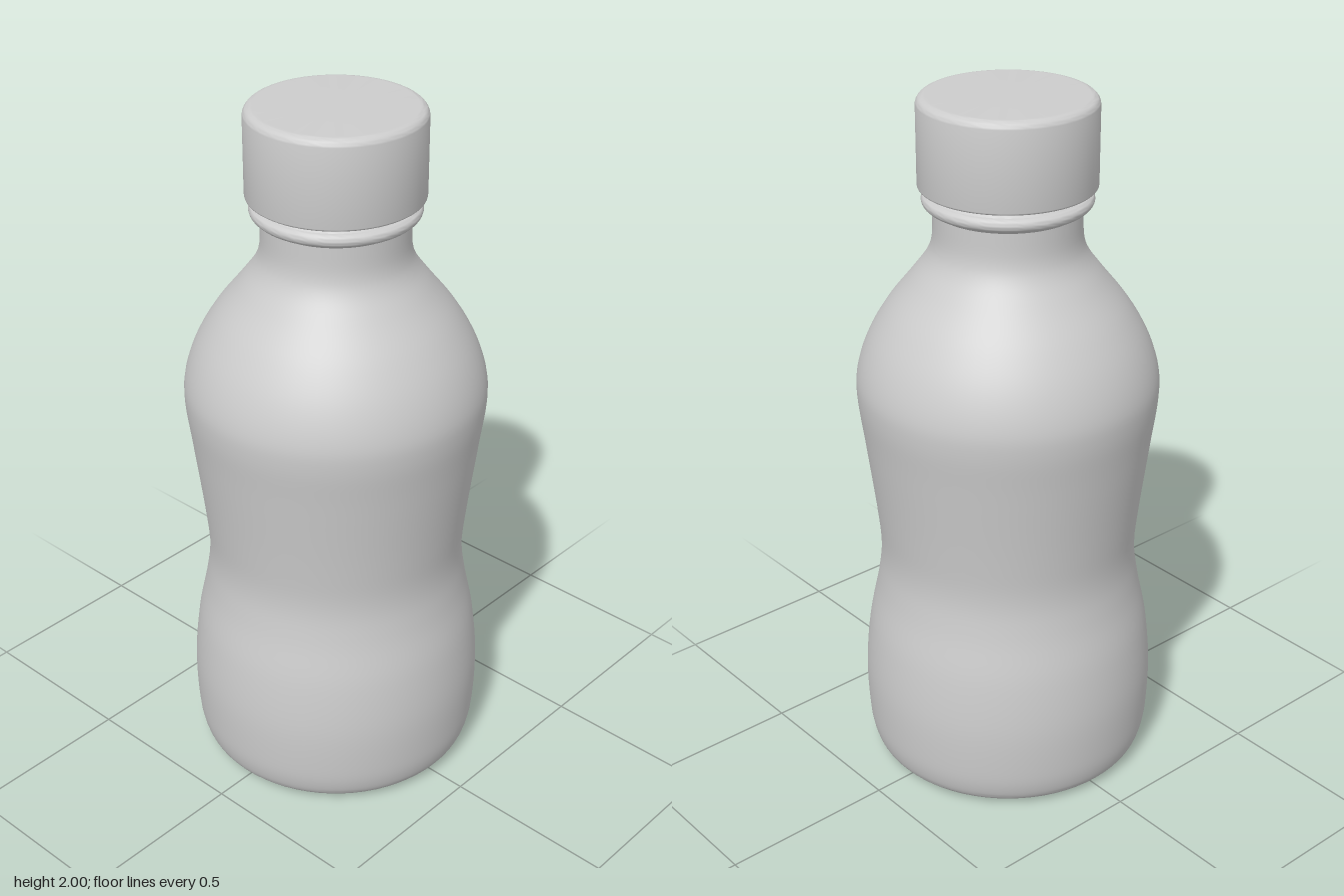
import * as THREE from 'three';
import { toCreasedNormals } from 'three/addons/utils/BufferGeometryUtils.js';

const SEGMENTS = 72;
const v = (r, y) => new THREE.Vector2(r, y);

// Rounded quarter turn around (cx, cy), from angle a0 to a1
function arc(cx, cy, rad, a0, a1, steps = 8) {
  const pts = [];
  for (let i = 0; i <= steps; i++) {
    const a = a0 + ((a1 - a0) * i) / steps;
    pts.push(v(cx + rad * Math.cos(a), cy + rad * Math.sin(a)));
  }
  return pts;
}

function turned(name, points, material) {
  const geometry = toCreasedNormals(new THREE.LatheGeometry(points, SEGMENTS), 0.6);
  const mesh = new THREE.Mesh(geometry, material);
  mesh.name = name;
  return mesh;
}

export function createModel() {
  const group = new THREE.Group();
  group.name = 'bottle';
  const plastic = new THREE.MeshStandardMaterial({ color: 0xcccccc });
  plastic.name = 'light grey plastic';

  // Body: flat base, pinched waist, round shoulder and slim neck
  const side = new THREE.SplineCurve([
    v(0.36, 0.005), v(0.392, 0.022), v(0.41, 0.06), v(0.42, 0.13), v(0.423, 0.27),
    v(0.408, 0.42), v(0.38, 0.56), v(0.368, 0.67), v(0.378, 0.8), v(0.405, 1.02),
    v(0.421, 1.15), v(0.417, 1.23), v(0.387, 1.32), v(0.335, 1.41), v(0.265, 1.5),
    v(0.222, 1.56), v(0.205, 1.61), v(0.202, 1.68),
  ]).getPoints(90);
  group.add(turned('body', [v(0, 0), v(0.335, 0), ...side, v(0.202, 1.78)], plastic));

  // Collar ring below the cap
  group.add(turned('neckRing', [
    v(0.198, 1.688), v(0.208, 1.698), v(0.222, 1.703),
    ...arc(0.214, 1.72, 0.018, -0.7, Math.PI / 2),
    v(0.207, 1.745), v(0.2, 1.75),
  ], plastic));

  // Screw cap with a softened top edge
  group.add(turned('cap', [
    v(0, 1.755), v(0.238, 1.755),
    ...arc(0.236, 1.761, 0.006, -Math.PI / 2, 0, 4),
    ...arc(0.217, 1.975, 0.025, 0, Math.PI / 2),
    v(0.21, 2), v(0, 2),
  ], plastic));

  return group;
}
